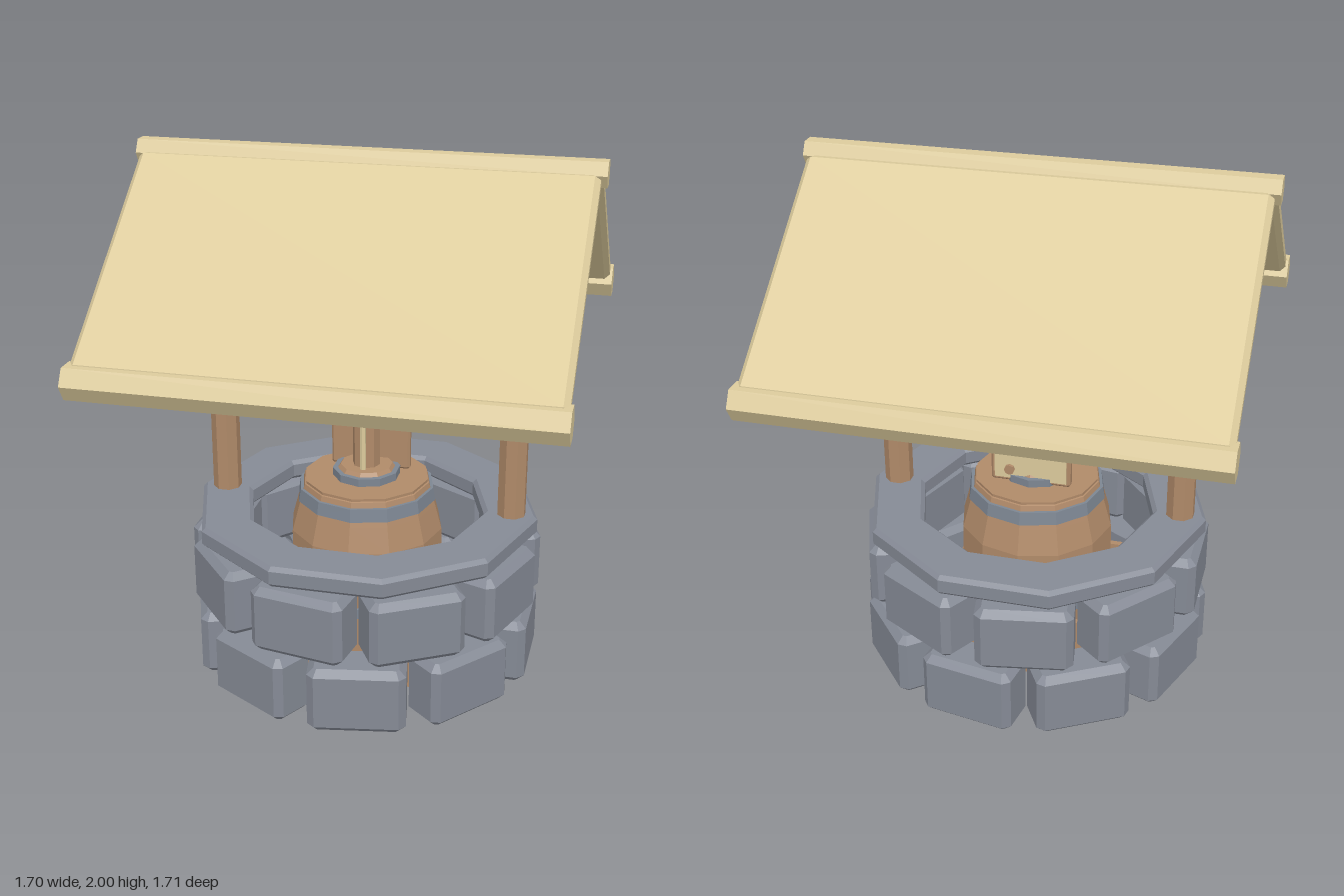
import * as THREE from 'three';

const mat = (name, color) => {
  const m = new THREE.MeshStandardMaterial({ color, flatShading: true });
  m.name = name;
  return m;
};

export function createModel() {
  const stone = mat('stone', 0x858a95);
  const wood = mat('wood', 0xb08a69);
  const straw = mat('straw', 0xdccb9c);
  const iron = mat('iron', 0x7d8692);
  const model = new THREE.Group();
  model.name = 'coveredWell';

  const add = (name, geometry, material, x = 0, y = 0, z = 0, parent = model) => {
    const mesh = new THREE.Mesh(geometry, material);
    mesh.name = name;
    mesh.position.set(x, y, z);
    parent.add(mesh);
    return mesh;
  };

  // Prism of an outline in x/y, centred on z, with chamfered edges
  const prism = (points, depth, b, holes = []) => {
    const shape = new THREE.Shape(points.map(p => new THREE.Vector2(...p)));
    for (const h of holes) shape.holes.push(new THREE.Path(h.map(p => new THREE.Vector2(...p))));
    const g = new THREE.ExtrudeGeometry(shape, {
      depth: depth - 2 * b, bevelEnabled: true, bevelThickness: b, bevelSize: b, bevelOffset: -b, bevelSegments: 1
    });
    return g.translate(0, 0, b - depth / 2);
  };
  // Chamfered box, extruded along z
  const block = (w, h, d, b) => {
    const x = w / 2, y = h / 2;
    return prism([[x - b, -y], [x, b - y], [x, y - b], [x - b, y], [b - x, y], [-x, y - b], [-x, b - y], [b - x, -y]], d, b);
  };
  const rodX = (r, length, sides) => new THREE.CylinderGeometry(r, r, length, sides).rotateZ(Math.PI / 2);
  const rodY = (r, length, sides, top = r) => new THREE.CylinderGeometry(top, r, length, sides);

  // Two staggered courses of nine stone blocks
  const blockGeo = block(0.36, 0.18, 0.257, 0.026).rotateX(Math.PI / 2);
  [[0.129, 10, 'lowerStone'], [0.408, -10, 'upperStone']].forEach(([y, offset, name]) => {
    for (let i = 0; i < 9; i++) {
      const a = THREE.MathUtils.degToRad(offset + i * 40);
      add(name, blockGeo, stone, 0.568 * Math.sin(a), y, 0.568 * Math.cos(a)).rotation.y = a;
    }
  });

  // Ten-sided coping ring
  const ring = r => Array.from({ length: 10 }, (_, i) => [r * Math.cos(i * Math.PI / 5), r * Math.sin(i * Math.PI / 5)]);
  add('copingRing', prism(ring(0.665), 0.08, 0.015, [ring(0.46).reverse()]).rotateX(Math.PI / 2), stone, 0, 0.595, 0);

  // Crate with iron corners around the barrel foot
  add('crateFloor', new THREE.BoxGeometry(0.64, 0.03, 0.56), wood, 0, 0.017, 0);
  for (const s of [-1, 1]) {
    add('crateLongSide', new THREE.BoxGeometry(0.68, 0.27, 0.025), wood, 0, 0.137, s * 0.285);
    add('crateShortSide', new THREE.BoxGeometry(0.025, 0.27, 0.56), wood, s * 0.328, 0.137, 0);
    for (const t of [-1, 1]) add('crateCorner', new THREE.BoxGeometry(0.05, 0.24, 0.05), iron, s * 0.325, 0.122, t * 0.28);
  }

  // Bulging barrel with hoops and a recessed lid
  const profile = [[0, 0.035], [0.23, 0.035], [0.27, 0.16], [0.3, 0.37], [0.297, 0.54], [0.27, 0.64], [0.245, 0.73], [0.22, 0.742], [0, 0.735]];
  add('barrel', new THREE.LatheGeometry(profile.map(p => new THREE.Vector2(...p)), 12), wood);
  add('barrelTopHoop', rodY(0.27, 0.05, 12, 0.262), iron, 0, 0.685, 0);
  add('barrelRim', rodY(0.24, 0.025, 12), wood, 0, 0.73, 0);
  add('barrelMiddleHoop', rodY(0.305, 0.04, 12), iron, 0, 0.29, 0);
  add('postFootBand', rodY(0.13, 0.03, 10), iron, 0, 0.758, 0);
  add('postFoot', rodY(0.115, 0.02, 10, 0.1), wood, 0, 0.777, 0);

  // Central signpost with a cap and three arrow boards
  add('signPost', rodY(0.053, 0.94, 8), wood, 0, 1.2, 0);
  add('signPostCap', rodX(0.04, 0.34, 6), straw, 0, 1.68, 0);
  [[1.152, 53, 0.53, 0.125], [1.335, 157, 0.49, 0.125], [1.505, 18, 0.46, 0.1]].forEach(([y, deg, len, h]) => {
    const k = h / 2;
    const board = prism([[0.02, -k], [len - 0.08, -k], [len, 0], [len - 0.08, k], [0.02, k]], 0.045, 0.01);
    add('arrowBoard', board, wood, 0, y, -0.015).rotation.y = THREE.MathUtils.degToRad(deg);
  });

  // Upright board behind the post, with a knob
  add('backBoard', block(0.31, 0.23, 0.035, 0.008), wood, 0, 0.86, -0.082);
  add('backBoardFace', new THREE.BoxGeometry(0.28, 0.2, 0.006), straw, 0, 0.86, -0.1);
  add('backBoardKnob', new THREE.CylinderGeometry(0.02, 0.02, 0.02, 8).rotateX(Math.PI / 2), wood, 0.08, 0.8, -0.106);

  // Windlass: axle, rope drum, hanging rope and crank
  add('axle', rodX(0.036, 1.2, 8), wood, 0.035, 1.172, 0);
  add('axleEnd', rodX(0.02, 0.1, 8), wood, 0.63, 1.172, 0);
  add('ropeDrum', rodX(0.082, 0.345, 6), straw, 0, 1.172, 0);
  add('rope', rodY(0.012, 0.36, 6), straw, 0, 0.95, 0.06);
  add('crankArm', block(0.03, 0.21, 0.036, 0.006), iron, 0.657, 1.088, 0);
  add('crankHandle', rodX(0.017, 0.13, 6), wood, 0.708, 0.995, 0);

  // Posts, gables and roof beam
  const postGeo = rodY(0.055, 1.25, 8).rotateY(Math.PI / 8);
  const gableGeo = prism([[-0.4, 0], [0.4, 0], [0, 0.32]], 0.04, 0.008).rotateY(Math.PI / 2);
  for (const s of [-1, 1]) {
    add('roofPost', postGeo, wood, s * 0.565, 1.255, 0);
    add('gable', gableGeo, wood, s * 0.565, 1.555, 0);
  }
  add('roofBeam', rodX(0.05, 1.42, 8), wood, 0, 1.845, 0);

  // Roof slabs, eave poles and ridge pole
  const slabGeo = block(1.66, 0.07, 0.95, 0.02);
  for (const s of [-1, 1]) {
    add('roofSlab', slabGeo, straw, 0, 1.655, s * 0.415).rotation.x = s * 0.66;
    add('eavePole', rodX(0.066, 1.68, 6), straw, 0, 1.343, s * 0.79);
  }
  add('ridgePole', rodX(0.052, 1.7, 6), straw, 0, 1.955, 0);

  return model;
}
